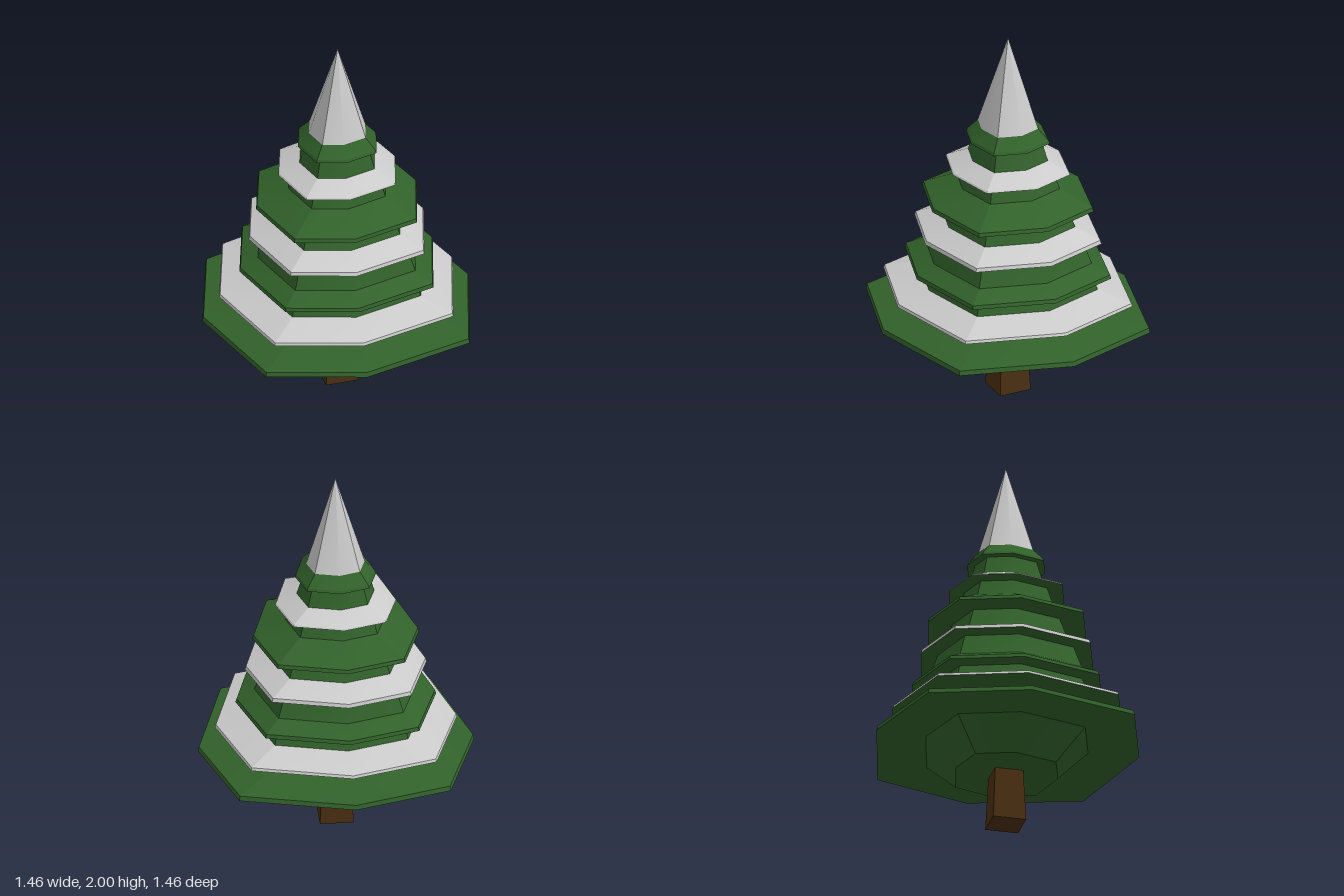
import * as THREE from 'three';
import { mergeGeometries } from 'three/addons/utils/BufferGeometryUtils.js';

const green = new THREE.MeshStandardMaterial({ color: 0x32622b });
const snow = new THREE.MeshStandardMaterial({ color: 0xcccccc });
const bark = new THREE.MeshStandardMaterial({ color: 0x4a2f12, flatShading: true });

// Uneven eight-sided outline (x, z), scaled so its half width is 1
const outline = [
  [0.23, 0.73], [0.64, 0.30], [0.73, -0.23], [0.28, -0.63],
  [-0.23, -0.73], [-0.61, -0.36], [-0.73, 0.23], [-0.36, 0.59],
].map(([x, z]) => [x / 0.73, z / 0.73]);

// Band between two scaled outlines: four sharp quarters, each smooth over its middle corner
function band([r0, y0], [r1, y1]) {
  const quarters = [];
  for (let q = 0; q < 8; q += 2) {
    const pos = [];
    for (let i = 0; i < 3; i++) {
      const [x, z] = outline[(q + i) % 8];
      pos.push(x * r0, y0, z * r0, x * r1, y1, z * r1);
    }
    const geo = new THREE.BufferGeometry();
    geo.setAttribute('position', new THREE.Float32BufferAttribute(pos, 3));
    geo.setIndex([0, 2, 3, 0, 3, 1, 2, 4, 5, 2, 5, 3]);
    geo.computeVertexNormals();
    quarters.push(geo);
  }
  return mergeGeometries(quarters);
}

// Mesh following a profile of [radius, height] points, hard edged between bands
function shell(name, profile, material) {
  const bands = profile.slice(1).map((p, i) => band(profile[i], p));
  const mesh = new THREE.Mesh(mergeGeometries(bands), material);
  mesh.name = name;
  return mesh;
}

// Each tier: body radius below, rim radius, body radius above, and heights
const tiers = [
  { y: 0.435, inner: 0.45, rim: 0.73, lip: 0.025, top: 0.46, topY: 0.51, mat: green },
  { y: 0.57, inner: 0.445, rim: 0.64, lip: 0.015, top: 0.46, topY: 0.635, mat: snow },
  { y: 0.71, inner: 0.435, rim: 0.53, lip: 0.02, top: 0.43, topY: 0.78, mat: green },
  { y: 0.90, inner: 0.385, rim: 0.48, lip: 0.02, top: 0.345, topY: 0.975, mat: snow },
  { y: 1.08, inner: 0.305, rim: 0.44, lip: 0.02, top: 0.265, topY: 1.18, mat: green },
  { y: 1.27, inner: 0.235, rim: 0.32, lip: 0.008, top: 0.205, topY: 1.33, mat: snow },
  { y: 1.43, inner: 0.175, rim: 0.215, lip: 0.015, top: 0.155, topY: 1.505, mat: green },
];

export function createModel() {
  const tree = new THREE.Group();
  tree.name = 'snowyFirTree';

  // Square tapered trunk
  const trunk = new THREE.Mesh(
    new THREE.CylinderGeometry(0.103, 0.122, 0.30, 4, 1, false, 0.305), bark);
  trunk.position.y = 0.15;
  trunk.name = 'trunk';
  tree.add(trunk);

  // Flared base, then foliage tiers joined by sloping body sections
  let below = [0.285, 0.28];
  tree.add(shell('foliageBottom', [[0, 0.28], below], green));
  tiers.forEach((t, i) => {
    const n = i + 1;
    tree.add(shell('body' + n, [below, [t.inner, t.y]], green));
    tree.add(shell('tierUnderside' + n, [[t.inner, t.y], [t.rim, t.y]], green));
    below = [t.top, t.topY];
    tree.add(shell('tier' + n, [[t.rim, t.y], [t.rim - 0.006, t.y + t.lip], below], t.mat));
  });

  // Snow-covered tip
  tree.add(shell('snowTip', [below, [0, 2]], snow));
  return tree;
}
